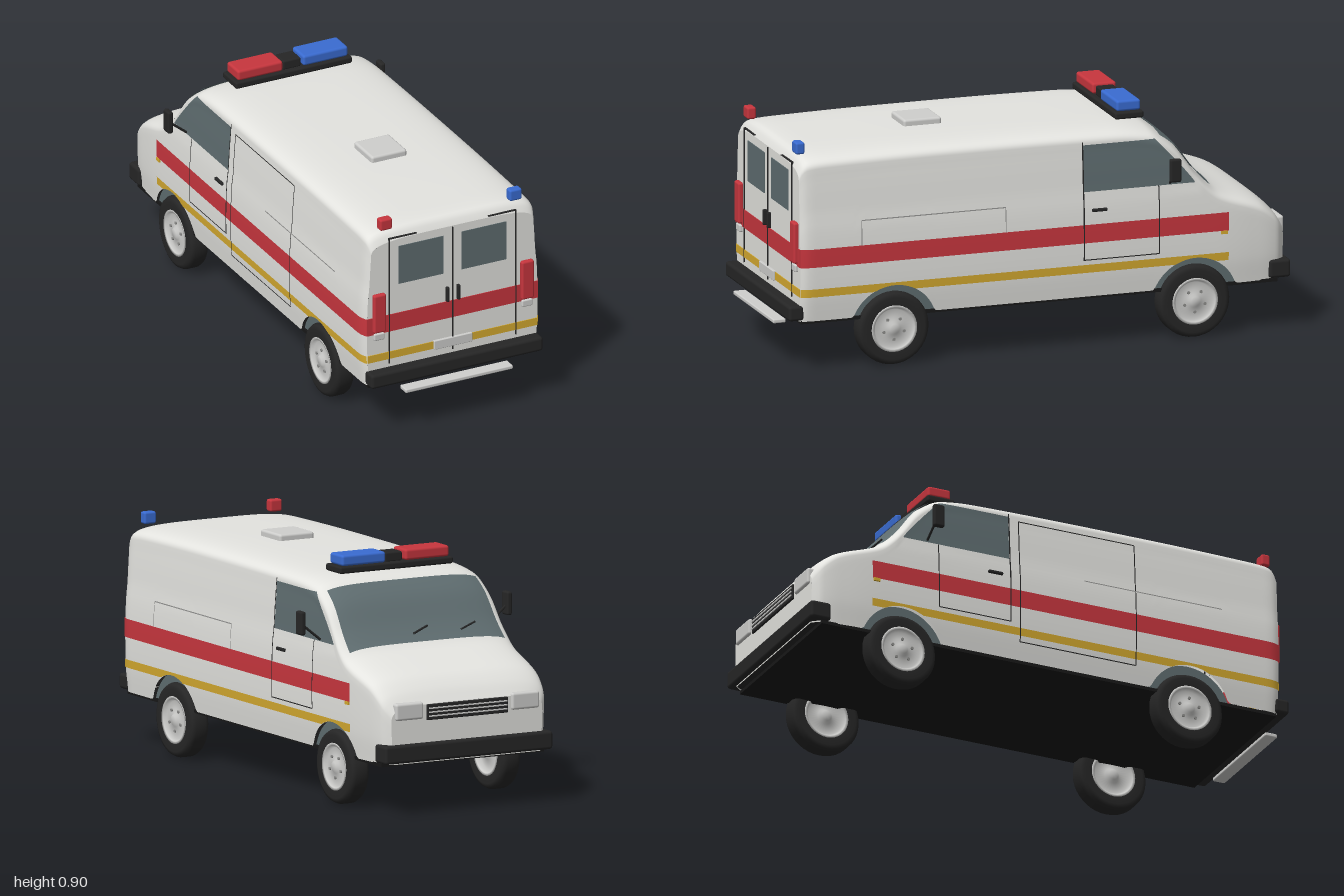
import * as THREE from 'three';
import { RoundedBoxGeometry } from 'three/addons/geometries/RoundedBoxGeometry.js';

const paint = (name, color) => new THREE.MeshStandardMaterial({ name, color, side: THREE.DoubleSide });

// smooth interpolation through [t, value] pairs sorted by t
function interp(p, t) {
  const n = p.length - 1;
  let i = 0;
  while (i < n - 1 && t > p[i + 1][0]) i++;
  const slope = (k) => {
    const a = p[Math.max(k - 1, 0)], b = p[Math.min(k + 1, n)];
    return (b[1] - a[1]) / (b[0] - a[0]);
  };
  const h = p[i + 1][0] - p[i][0];
  const s = Math.min(1, Math.max(0, (t - p[i][0]) / h)), s2 = s * s, s3 = s2 * s;
  return (2 * s3 - 3 * s2 + 1) * p[i][1] + (s3 - 2 * s2 + s) * h * slope(i)
    + (3 * s2 - 2 * s3) * p[i + 1][1] + (s3 - s2) * h * slope(i + 1);
}

// body shape: roof line along z, side bulge over y, plan taper along z
const ROOF = [[-0.98, 0.42], [-0.94, 0.47], [-0.88, 0.515], [-0.74, 0.565], [-0.69, 0.592], [-0.63, 0.652],
  [-0.56, 0.745], [-0.5, 0.795], [-0.45, 0.82], [-0.3, 0.835], [0.4, 0.84], [0.8, 0.835], [0.9, 0.829], [0.925, 0.817], [0.94, 0.79]];
const SIDE = [[0.2, 0.358], [0.3, 0.368], [0.45, 0.37], [0.56, 0.366], [0.6, 0.361], [0.7, 0.355], [0.8, 0.347]];
const PLAN = [[-0.98, 0.88], [-0.95, 0.945], [-0.85, 0.985], [-0.7, 1], [0.88, 1], [0.92, 0.99], [0.94, 0.965]];
const NOSE = -0.98, TAIL = 0.94, R = 0.07, P = 4, AXLES = [0.57, -0.62], WHEEL_Y = 0.145;

const roof = (z) => interp(ROOF, z);
const wall = (y, z) => interp(SIDE, y) * interp(PLAN, z);
const halfWidth = (y, z) => {
  const base = roof(z) - R;
  if (y <= base) return wall(y, z);
  return wall(base, z) * Math.pow(Math.max(0, 1 - Math.pow((y - base) / R, P)), 1 / P);
};
const topY = (x, z) => {
  const base = roof(z) - R;
  return base + R * Math.pow(Math.max(0, 1 - Math.pow(Math.abs(x) / wall(base, z), P)), 1 / P);
};
const sillY = (z) => AXLES.reduce((y, c) => {
  const d = 0.17 ** 2 - (z - c) ** 2;
  return d > 0 ? Math.max(y, WHEEL_Y + Math.sqrt(d)) : y;
}, 0.2);

// cross-section point, t in 0..1 from the +x sill over the roof to the -x sill
function section(t, z) {
  const base = roof(z) - R, low = sillY(z);
  const m = Math.min(t, 1 - t), sign = t <= 0.5 ? 1 : -1;
  if (m < 0.25) {
    const y = low + (base - low) * m / 0.25;
    return [sign * wall(y, z), y, z];
  }
  const a = (m - 0.25) / 0.25 * Math.PI / 2;
  const c = Math.max(0, Math.cos(a));
  return [sign * wall(base, z) * Math.pow(c, 2 / P), base + R * Math.pow(Math.sin(a), 2 / P), z];
}

// grid surface from a function of u, v
function surface(fn, nu, nv) {
  const pos = [], idx = [];
  for (let i = 0; i <= nu; i++) for (let j = 0; j <= nv; j++) pos.push(...fn(i / nu, j / nv));
  for (let i = 0; i < nu; i++) for (let j = 0; j < nv; j++) {
    const a = i * (nv + 1) + j, b = a + nv + 1;
    idx.push(a, a + 1, b, b, a + 1, b + 1);
  }
  const g = new THREE.BufferGeometry();
  g.setAttribute('position', new THREE.Float32BufferAttribute(pos, 3));
  g.setIndex(idx);
  g.computeVertexNormals();
  return g;
}

export function createModel() {
  const van = new THREE.Group();
  van.name = 'ambulanceVan';
  const white = paint('bodyWhite', 0xe4e4e0), red = paint('signalRed', 0xc8363e), yellow = paint('stripeYellow', 0xd6ab30);
  const blue = paint('signalBlue', 0x3a6cd2), glass = paint('glass', 0x5f6d70), black = paint('trimBlack', 0x262626);
  const dark = paint('underbodyBlack', 0x181818), grey = paint('lightGrey', 0xcfcfcd), seam = paint('seamGrey', 0x8f8f8d);

  const add = (name, geo, mat, parent = van) => {
    const m = new THREE.Mesh(geo, mat);
    m.name = name;
    parent.add(m);
    return m;
  };
  // box given by its limits on each axis
  const box = (name, mat, x0, x1, y0, y1, z0, z1, r = 0) => {
    const s = [x1 - x0, y1 - y0, z1 - z0];
    const g = r ? new RoundedBoxGeometry(...s, 2, r) : new THREE.BoxGeometry(...s);
    add(name, g, mat).position.set((x0 + x1) / 2, (y0 + y1) / 2, (z0 + z1) / 2);
  };
  // thin skin that follows the body side
  const skin = (name, mat, side, fn, nu = 24, nv = 6, off = 0.003) => add(name, surface((u, v) => {
    const [z, y] = fn(u, v);
    return [side * (halfWidth(y, z) + off), y, z];
  }, nu, nv), mat);
  const sideRect = (name, mat, side, z0, z1, y0, y1, nu = 12, nv = 10) =>
    skin(name, mat, side, (u, v) => [z0 + (z1 - z0) * u, y0 + (y1 - y0) * v], nu, nv, 0.004);
  const rod = (name, a, b, r) => add(name, new THREE.TubeGeometry(
    new THREE.LineCurve3(new THREE.Vector3(...a), new THREE.Vector3(...b)), 1, r, 6), black);

  // shell, end panels and floor
  add('bodyShell', surface((u, v) => section(v, NOSE + (TAIL - NOSE) * u), 190, 72), white);
  for (const [name, z] of [['rearPanel', TAIL], ['nosePanel', NOSE]]) {
    add(name, surface((u, v) => {
      const [x, y] = section(v / 2, z);
      return [x * (1 - 2 * u), y, z];
    }, 2, 30), white);
  }
  box('floor', dark, -0.35, 0.35, 0.19, 0.203, -0.95, 0.935);

  // windscreen and wipers
  add('windscreen', surface((u, v) => {
    const z = -0.685 + 0.195 * u, x = (2 * v - 1) * (0.335 - 0.015 * u);
    return [x, topY(x, z) + 0.004, z - 0.003];
  }, 20, 30), glass);
  for (const x of [-0.23, -0.025]) {
    rod('wiper', [x, topY(x, -0.64) + 0.009, -0.643], [x + 0.07, topY(x + 0.07, -0.66) + 0.009, -0.663], 0.004);
  }

  for (const s of [1, -1]) {
    // stripes
    skin('redStripe', red, s, (u, v) => [-0.75 + 1.69 * u, 0.41 + 0.07 * v], 80, 4);
    skin('yellowStripe', yellow, s, (u, v) => {
      const z = -0.75 + 1.69 * u, lo = Math.max(0.295, sillY(z));
      return [z, lo + (0.326 - lo) * v];
    }, 120, 2);

    // cab door
    skin('sideWindow', glass, s, (u, v) => {
      const front = -0.62 + 0.155 * Math.pow(v, 1.1);
      return [-0.18 + (front + 0.18) * u, 0.605 + 0.178 * v];
    }, 20, 14);
    sideRect('doorSeamRear', black, s, -0.18, -0.175, 0.345, 0.795, 1, 20);
    sideRect('doorSeamFront', black, s, -0.477, -0.473, 0.345, 0.605, 1, 12);
    sideRect('doorSeamBottom', black, s, -0.475, -0.175, 0.343, 0.347, 12, 1);
    const hx = s * 0.372;
    box('doorHandle', black, hx - 0.006, hx + 0.006, 0.528, 0.54, -0.27, -0.21, 0.004);
    box('sideMarker', yellow, hx - 0.005, hx + 0.005, 0.398, 0.41, -0.745, -0.72);

    // panel crease
    sideRect('panelCrease', seam, s, 0.13, 0.7, 0.573, 0.577, 12, 1);

    // mirror
    rod('mirrorArm', [s * 0.365, 0.612, -0.52], [s * 0.44, 0.673, -0.515], 0.005);
    box('mirror', black, s * 0.445 - 0.011, s * 0.445 + 0.011, 0.635, 0.725, -0.535, -0.49, 0.008);

    // rear door fittings
    const rear = (name, mat, a, b, y0, y1, z1, r) =>
      box(name, mat, Math.min(s * a, s * b), Math.max(s * a, s * b), y0, y1, 0.935, z1, r);
    rear('rearWindow', glass, 0.038, 0.226, 0.6, 0.757, 0.943);
    rear('rearDoorSeam', black, 0.264, 0.267, 0.277, 0.797, 0.9445);
    rear('rearDoorTopSeam', black, 0.15, 0.267, 0.794, 0.797, 0.9445);
    rear('rearHandle', black, 0.017, 0.029, 0.482, 0.542, 0.955, 0.004);
    rear('tailLamp', red, 0.284, 0.336, 0.42, 0.578, 0.958, 0.008);
    rear('reverseLamp', grey, 0.288, 0.332, 0.387, 0.415, 0.952, 0.005);

    // headlamp
    box('headlamp', grey, s * 0.25 - 0.06, s * 0.25 + 0.06, 0.365, 0.43, -0.99, -0.95, 0.01);
  }

  // sliding door on one side
  for (const z of [-0.14, 0.34]) sideRect('slidingDoorSeam', black, -1, z, z + 0.004, 0.27, 0.77, 1, 20);
  sideRect('slidingDoorTopSeam', black, -1, -0.14, 0.34, 0.768, 0.772, 12, 1);
  sideRect('slidingDoorBottomSeam', black, -1, -0.14, 0.34, 0.268, 0.272, 12, 1);
  // locker panel on the other
  for (const z of [0.13, 0.7]) sideRect('lockerSeam', seam, 1, z, z + 0.003, 0.48, 0.575, 1, 4);

  // rear stripes, centre seam, plate, step
  box('rearRedStripe', red, -0.358, 0.358, 0.41, 0.48, 0.936, 0.943);
  box('rearYellowStripe', yellow, -0.355, 0.355, 0.296, 0.326, 0.936, 0.943);
  box('rearCentreSeam', black, -0.002, 0.002, 0.277, 0.787, 0.936, 0.9445);
  box('rearPlate', grey, -0.08, 0.08, 0.293, 0.33, 0.937, 0.95, 0.003);
  box('rearStep', grey, -0.225, 0.225, 0.167, 0.183, 0.95, 1, 0.005);

  // bumpers and grille
  box('rearBumper', black, -0.36, 0.36, 0.205, 0.263, 0.925, 0.985, 0.012);
  box('frontBumper', black, -0.362, 0.362, 0.205, 0.275, -1, -0.915, 0.012);
  box('grille', black, -0.175, 0.175, 0.358, 0.418, -0.987, -0.96, 0.004);
  for (let i = 0; i < 3; i++) box('grilleBar', grey, -0.168, 0.168, 0.371 + i * 0.015, 0.376 + i * 0.015, -0.991, -0.98);

  // roof equipment
  box('lightBarBase', black, -0.245, 0.243, 0.838, 0.865, -0.46, -0.347, 0.008);
  box('lightBarRed', red, -0.232, -0.043, 0.865, 0.907, -0.452, -0.357, 0.01);
  box('lightBarBlue', blue, 0.042, 0.23, 0.865, 0.907, -0.452, -0.357, 0.01);
  box('lightBarCentre', black, -0.038, 0.037, 0.862, 0.9, -0.437, -0.367, 0.007);
  box('beaconRed', red, -0.298, -0.247, 0.83, 0.876, 0.9, 0.935, 0.008);
  box('beaconBlue', blue, 0.245, 0.296, 0.83, 0.876, 0.9, 0.935, 0.008);
  box('roofHatch', grey, -0.075, 0.073, 0.83, 0.864, 0.28, 0.43, 0.01);

  // wheels with arch liners
  const tyreGeo = new THREE.LatheGeometry([[0.088, -0.037], [0.12, -0.04], [0.134, -0.034], [0.141, -0.02], [0.141, 0.02],
    [0.134, 0.034], [0.12, 0.04], [0.088, 0.037]].map((p) => new THREE.Vector2(...p)), 40);
  const rimGeo = new THREE.LatheGeometry([[0, 0.04], [0.018, 0.04], [0.026, 0.03], [0.045, 0.03], [0.072, 0.024], [0.08, 0.037],
    [0.09, 0.038], [0.09, -0.038], [0.08, -0.037], [0.07, -0.02], [0.03, -0.025], [0.02, -0.038], [0, -0.038]]
    .map((p) => new THREE.Vector2(...p)), 32);
  for (const s of [1, -1]) for (const z of AXLES) {
    const wheel = new THREE.Group();
    wheel.name = 'wheel';
    wheel.position.set(s * 0.326, WHEEL_Y, z);
    wheel.rotation.z = -s * Math.PI / 2;
    add('tyre', tyreGeo, black, wheel);
    add('rim', rimGeo, grey, wheel);
    for (let i = 0; i < 5; i++) {
      const a = i / 5 * Math.PI * 2;
      add('wheelBolt', new THREE.CylinderGeometry(0.006, 0.006, 0.008, 8), seam, wheel)
        .position.set(Math.cos(a) * 0.042, 0.031, Math.sin(a) * 0.042);
    }
    van.add(wheel);
    const liner = add('archLiner', new THREE.CircleGeometry(0.178, 40, 0.32, Math.PI - 0.64), glass);
    liner.position.set(s * 0.342, WHEEL_Y, z);
    liner.rotation.y = s * Math.PI / 2;
  }
  return van;
}
